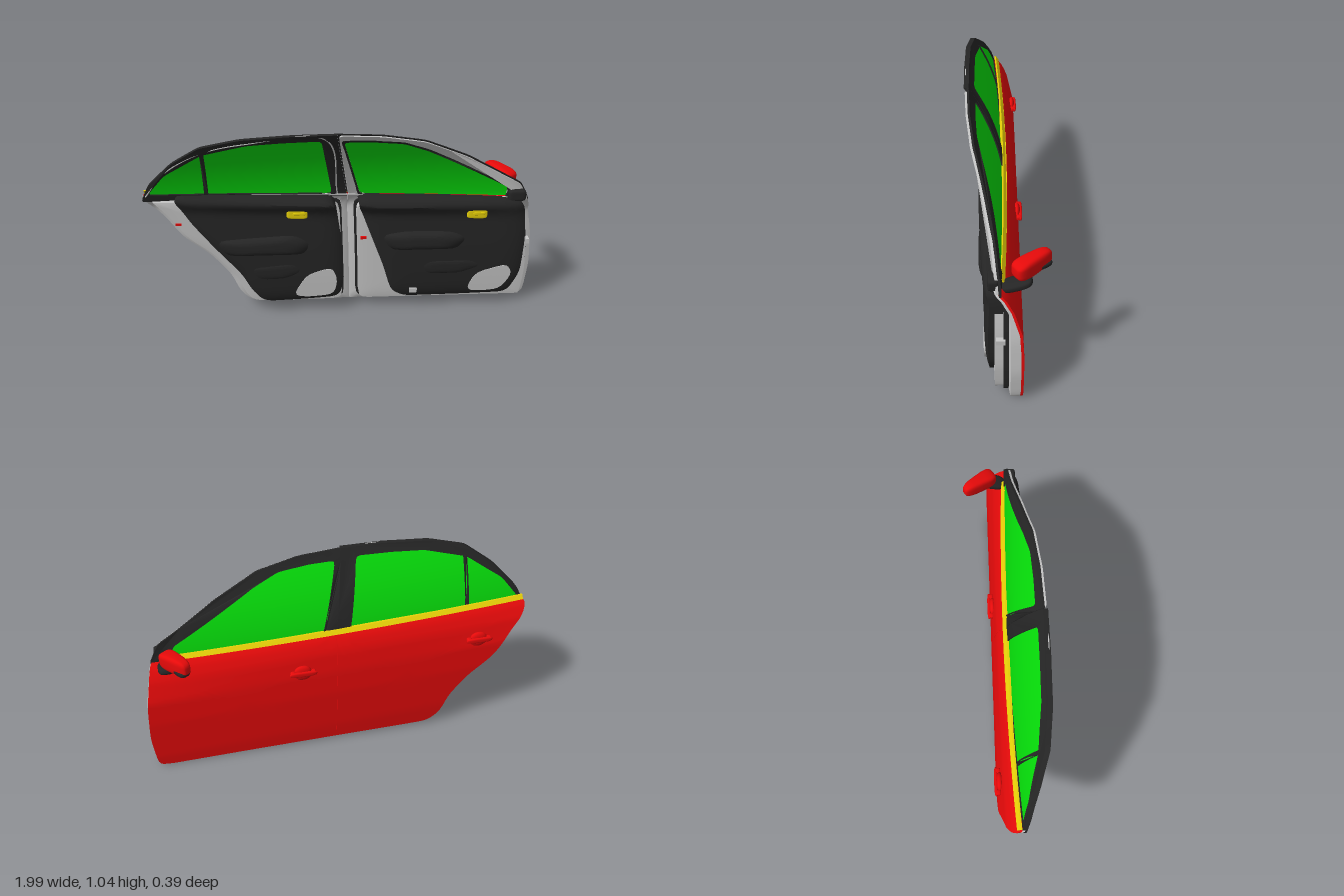
import * as THREE from 'three';
import { toCreasedNormals } from 'three/addons/utils/BufferGeometryUtils.js';

const material = (name, color) => {
  const m = new THREE.MeshStandardMaterial({ color });
  m.name = name;
  return m;
};

// Surface rules: belt line, outer skin, window plane and inner trim
const belt = x => 0.655 - 0.045 * x;
const PROFILE = [[0, 0.01], [0.035, -0.02], [0.09, -0.045], [0.2, -0.065], [0.33, -0.073], [0.55, -0.072], [0.7, -0.06]];
function skinZ(x, y) {
  const s = THREE.MathUtils.clamp(belt(x) - y, 0, 0.699);
  const k = PROFILE.findIndex((p, i) => i > 0 && s < p[0]);
  const [a, b] = [PROFILE[k - 1], PROFILE[k]];
  const z = a[1] + (b[1] - a[1]) * (s - a[0]) / (b[0] - a[0]);
  return z + 0.03 * x * x * Math.max(0, 1 - s / 0.2);
}
function windowZ(x, y) {
  const t = Math.max(0, y - 0.63);
  return 0.01 + 0.03 * x * x + 0.15 * t + 0.65 * t * t;
}
const trimZ = (x, y) => 0.09 + 0.013 * Math.sin(Math.min(1, y / 0.6) * Math.PI)
  + 0.045 * Math.exp(-(((belt(x) - y - 0.022) / 0.04) ** 2)) * (1 - 0.75 * x * x);

const vectors = points => {
  const p = points.map(([x, y, sharp]) => Object.assign(new THREE.Vector2(x, y), { sharp }));
  return THREE.ShapeUtils.isClockWise(p) ? p.reverse() : p;
};
// Rounds the corners of a closed outline, except sharp ones, and subdivides its edges
function outline(points, step = 0.03, cut = 0.025) {
  let p = vectors(points);
  for (let k = 0; k < 2; k++) {
    p = p.flatMap((a, i) => {
      const b = p[(i + 1) % p.length], f = Math.min(0.22, cut / a.distanceTo(b));
      return [a.sharp ? a : a.clone().lerp(b, f), ...(b.sharp ? [] : [a.clone().lerp(b, 1 - f)])];
    });
  }
  return p.flatMap((a, i) => {
    const b = p[(i + 1) % p.length], n = Math.ceil(a.distanceTo(b) / step);
    return Array.from({ length: n }, (_, j) => a.clone().lerp(b, j / n));
  });
}
// Moves every edge of a corner list inwards by d
function inset(points, d) {
  const p = vectors(points), n = p.length;
  const normal = i => {
    const e = p[(i + 1) % n].clone().sub(p[i % n]).normalize();
    return new THREE.Vector2(-e.y, e.x);
  };
  return p.map((v, i) => {
    const a = normal(i + n - 1), b = normal(i), k = d / (1 + a.dot(b));
    return [v.x + (a.x + b.x) * k, v.y + (a.y + b.y) * k];
  });
}
// Even band along a straight line from a to b
function ribbon([ax, ay], [bx, by], [wx, wy]) {
  const t = Array.from({ length: 41 }, (_, i) => i / 40);
  const at = (k, s) => new THREE.Vector2(ax + (bx - ax) * k + wx * s, ay + (by - ay) * k + wy * s);
  return [...t.map(k => at(k, 0)), ...t.reverse().map(k => at(k, 1))];
}

// Closed solid inside an outline, with front and back following z rules (x, y, ring)
function panel(pts, front, back, centre) {
  const n = pts.length, R = 12, pos = [], idx = [];
  const c = centre ? new THREE.Vector2(...centre)
    : pts.reduce((s, p) => s.add(p), new THREE.Vector2()).divideScalar(n);
  for (const rule of [front, back]) {
    for (let j = 0; j <= R; j++) {
      const r = 1 - (1 - j / R) ** 1.5;
      for (const p of pts) {
        const x = c.x + (p.x - c.x) * r, y = c.y + (p.y - c.y) * r;
        pos.push(x, y, rule(x, y, r));
      }
    }
  }
  const B = (R + 1) * n;
  for (let i = 0; i < n; i++) {
    const k = (i + 1) % n;
    for (let j = 0; j < R; j++) {
      const a = j * n + i, b = a + n, d = j * n + k, e = d + n;
      idx.push(a, b, e, B + a, B + e, B + b);
      if (j) idx.push(a, e, d, B + a, B + d, B + e);
    }
    const f = R * n + i, g = R * n + k;
    idx.push(f, B + f, B + g, f, B + g, g);
  }
  const geo = new THREE.BufferGeometry();
  geo.setAttribute('position', new THREE.Float32BufferAttribute(pos, 3));
  geo.setIndex(idx);
  return toCreasedNormals(geo, 0.7);
}

// Flat plate, optionally with a hole, bent onto a z rule
function plate(pts, depth, rule, hole) {
  const shape = new THREE.Shape(pts);
  if (hole) shape.holes.push(new THREE.Path(hole));
  const geo = new THREE.ExtrudeGeometry(shape, { depth, bevelEnabled: false });
  const p = geo.attributes.position;
  for (let i = 0; i < p.count; i++) p.setZ(i, p.getZ(i) + rule(p.getX(i), p.getY(i)));
  return toCreasedNormals(geo, 0.6);
}

// Squared-off ellipsoid
function pebble(sx, sy, sz, power = 0.65) {
  const geo = new THREE.SphereGeometry(1, 32, 20), p = geo.attributes.position;
  const q = v => Math.sign(v) * Math.abs(v) ** power;
  for (let i = 0; i < p.count; i++) p.setXYZ(i, q(p.getX(i)) * sx, q(p.getY(i)) * sy, q(p.getZ(i)) * sz);
  geo.computeVertexNormals();
  return geo;
}

const REAR = {
  body: [[-1, 0.697], [-0.985, 0.635], [-0.9, 0.54], [-0.82, 0.42], [-0.69, 0.315], [-0.59, 0.19], [-0.545, 0.075], [-0.48, 0.02], [-0.3, 0.017], [0.029, 0.014, true], [0.025, 0.3], [0.014, 0.655, true]],
  centre: [-0.35, 0.4],
  frame: [[-1, 0.66], [-0.955, 0.755], [-0.83, 0.885], [-0.69, 0.98], [-0.5, 1.022], [-0.26, 1.036], [-0.046, 1.036, true], [0.013, 0.64, true], [-0.5, 0.66]],
  glass: [[-0.965, 0.698], [-0.875, 0.81], [-0.69, 0.932], [-0.47, 0.985], [-0.3, 0.995], [-0.118, 0.998], [-0.062, 0.658], [-0.5, 0.678]],
  trim: [[-0.85, 0.69], [-0.45, 0.672], [-0.05, 0.65], [-0.02, 0.43], [-0.005, 0.19], [-0.03, 0.085], [-0.2, 0.075], [-0.42, 0.07], [-0.48, 0.14], [-0.53, 0.245], [-0.66, 0.405], [-0.77, 0.55]],
  speaker: [[-0.27, 0.115], [-0.2, 0.235], [-0.07, 0.275], [-0.04, 0.2], [-0.06, 0.11], [-0.2, 0.1]],
  armrest: [[-0.65, 0.45], [-0.5, 0.46], [-0.25, 0.47], [-0.17, 0.42], [-0.2, 0.355], [-0.6, 0.36]],
  pocket: [[-0.5, 0.29], [-0.25, 0.31], [-0.2, 0.26], [-0.3, 0.21], [-0.46, 0.21]],
  pull: [-0.24, 0.585], handle: [-0.73, 0.53],
};
const FRONT = {
  body: [[0.015, 0.655, true], [0.026, 0.3], [0.03, 0.014, true], [0.49, 0.008], [0.92, 0], [0.975, 0.01], [0.995, 0.19], [0.985, 0.38], [0.95, 0.56], [0.93, 0.615], [0.5, 0.633]],
  centre: [0.5, 0.35],
  frame: [[-0.045, 1.036, true], [0.17, 1.022], [0.38, 0.98], [0.6, 0.875], [0.78, 0.762], [0.895, 0.693], [0.945, 0.59], [0.5, 0.62], [0.014, 0.64, true]],
  glass: [[-0.012, 0.988], [0.12, 0.985], [0.275, 0.968], [0.4, 0.915], [0.54, 0.837], [0.825, 0.675], [0.822, 0.612], [0.5, 0.632], [0.078, 0.652]],
  trim: [[0.055, 0.655], [0.5, 0.637], [0.82, 0.62], [0.91, 0.6], [0.93, 0.4], [0.92, 0.19], [0.86, 0.07], [0.6, 0.068], [0.31, 0.07], [0.24, 0.11], [0.195, 0.27], [0.125, 0.46]],
  speaker: [[0.635, 0.105], [0.68, 0.21], [0.84, 0.255], [0.875, 0.2], [0.82, 0.105], [0.72, 0.095]],
  armrest: [[0.18, 0.45], [0.3, 0.47], [0.55, 0.46], [0.63, 0.42], [0.58, 0.355], [0.23, 0.36]],
  pocket: [[0.37, 0.26], [0.42, 0.295], [0.68, 0.29], [0.73, 0.25], [0.6, 0.205], [0.4, 0.21]],
  pull: [0.665, 0.555], handle: [0.2, 0.475],
};

export function createModel() {
  const model = new THREE.Group();
  model.name = 'carDoors';
  const red = material('red paint', 0xe60a0a), black = material('black plastic', 0x252525);
  const grey = material('light grey metal', 0xc6c6c6), green = material('green glass', 0x06de0a);
  const yellow = material('yellow accent', 0xf0d808);
  const add = (parent, name, geo, mat, at = [0, 0, 0]) => {
    const m = new THREE.Mesh(geo, mat);
    m.name = name;
    m.position.set(...at);
    parent.add(m);
    return m;
  };

  const buildDoor = (name, d) => {
    const door = new THREE.Group();
    door.name = name;
    model.add(door);
    const body = outline(d.body), inside = (x, y) => skinZ(x, y) + 0.012;

    // Painted skin, metal shell, rubber seal and inner box, stacked inwards
    add(door, 'outerSkin', panel(body, inside, skinZ, d.centre), red);
    const shellZ = (x, y, r) => Math.max(0.006 - 0.02 * r ** 8, skinZ(x, y) + 0.025);
    add(door, 'metalShell', panel(body, shellZ, inside, d.centre), grey);
    const sealZ = (x, y) => Math.max(0.018, skinZ(x, y) + 0.03);
    add(door, 'rubberSeal', panel(outline(inset(d.body, 0.031)), sealZ, inside, d.centre), black);
    add(door, 'innerBox', panel(outline(inset(d.body, 0.042)), (x, y, r) => 0.06 - 0.005 * r ** 10, inside, d.centre), grey);

    // Interior trim
    add(door, 'interiorTrim', panel(outline(d.trim), (x, y, r) => trimZ(x, y) - 0.018 * r ** 10, (x, y) => Math.max(0.02, skinZ(x, y) + 0.014)), black);
    const swell = h => (x, y, r) => trimZ(x, y) + h * (1 - r ** 4) - 0.005;
    const small = pts => outline(pts, 0.02);
    add(door, 'armrest', panel(small(d.armrest), swell(0.033), () => 0.08), black);
    add(door, 'doorPocket', panel(small(d.pocket), swell(0.01), () => 0.08), black);
    add(door, 'speakerCover', panel(small(d.speaker), (x, y) => trimZ(x, y) + 0.003, () => 0.08), grey);
    const [px, py] = d.pull, pz = trimZ(px, py);
    add(door, 'pullBezel', pebble(0.052, 0.024, 0.01, 0.4), yellow, [px, py, pz]).rotation.z = -0.05;
    add(door, 'pullLever', pebble(0.032, 0.008, 0.004, 0.5), yellow, [px + 0.01, py + 0.004, pz + 0.009]);

    // Window frame and glass
    const glass = outline(d.glass, 0.03, 0.012), pane = outline(inset(d.glass, -0.006), 0.03, 0.012);
    add(door, 'windowFrame', plate(outline(d.frame, 0.03, 0.012), d === REAR ? 0.024 : 0.01, (x, y) => windowZ(x, y) - 0.01, glass), black);
    add(door, 'windowGlass', panel(pane, (x, y) => windowZ(x, y) + 0.003, (x, y) => windowZ(x, y) - 0.003), green);

    // Outside handle: cup, bar and two feet
    const [hx, hy] = d.handle, hz = skinZ(hx, hy);
    add(door, 'handleCup', pebble(0.046, 0.042, 0.018, 0.9), red, [hx, hy, hz]);
    add(door, 'handleBar', pebble(0.07, 0.014, 0.009), red, [hx, hy + 0.004, hz - 0.018]);
    for (const s of [-1, 1]) add(door, 'handleFoot', pebble(0.014, 0.013, 0.014), red, [hx + s * 0.052, hy + 0.004, hz - 0.008]);
    return door;
  };
  const rear = buildDoor('rearDoor', REAR), front = buildDoor('frontDoor', FRONT);

  // Belt moulding along the outside, leaning in at the top
  const moulding = ribbon([-0.985, belt(-0.985) - 0.006], [0.86, belt(0.86) - 0.006], [0, 0.02]);
  add(model, 'beltMoulding', plate(moulding, 0.008, (x, y) => skinZ(x, belt(x)) - 0.018 + 0.8 * (y - belt(x))), yellow);

  // Quarter window bar and thin metal line on the rear frame
  add(rear, 'quarterWindowBar', plate(ribbon([-0.692, 0.68], [-0.692, 0.936], [0.019, 0]), 0.022, (x, y) => windowZ(x, y) - 0.009), black);
  const line = [[-0.975, 0.69], [-0.88, 0.82], [-0.69, 0.945], [-0.47, 0.998], [-0.1, 1.01], [-0.035, 0.66]];
  const path = new THREE.CatmullRomCurve3(line.map(([x, y]) => new THREE.Vector3(x, y, windowZ(x, y) + 0.014)), false, 'centripetal');
  add(rear, 'frameLine', new THREE.TubeGeometry(path, 60, 0.0035, 8), grey);

  // Bare metal inner half of the front frame, with a rubber lip round the glass
  const opening = outline(FRONT.glass, 0.03, 0.012);
  add(front, 'innerFrame', plate(outline(inset(FRONT.frame, 0.006), 0.03, 0.012), 0.014, windowZ, opening), grey);
  add(front, 'glassLip', plate(outline(inset(FRONT.glass, -0.011), 0.03, 0.012), 0.018, windowZ, opening), black);

  // Door mirror: housing narrowing to its tip, arm and lower insert
  const mirror = new THREE.Group();
  mirror.name = 'doorMirror';
  mirror.position.set(0.817, 0.682, -0.108);
  mirror.rotation.y = 0.6;
  model.add(mirror);
  const housing = pebble(0.045, 0.05, 0.095, 0.52), hp = housing.attributes.position;
  for (let i = 0; i < hp.count; i++) {
    const t = (0.095 - hp.getZ(i)) / 0.19, y = hp.getY(i);
    hp.setX(i, hp.getX(i) * (1 - 0.4 * t));
    hp.setY(i, y < 0 ? y * (1.1 - 0.6 * t * t) : y * (1 - 0.35 * (1 - t) ** 2));
  }
  housing.computeVertexNormals();
  add(mirror, 'mirrorHousing', housing, red);
  add(mirror, 'mirrorInsert', pebble(0.03, 0.014, 0.04), black, [0.006, -0.02, -0.05]);
  add(model, 'mirrorArm', pebble(0.04, 0.02, 0.07), black, [0.865, 0.612, -0.04]).rotation.x = 0.3;
  add(model, 'mirrorInnerCover', pebble(0.045, 0.03, 0.025, 0.4), black, [0.87, 0.635, 0.06]);

  // Latches, hinge and clip
  const block = (name, size, mat, at) => add(model, name, new THREE.BoxGeometry(...size), mat, at);
  block('rearLatch', [0.03, 0.012, 0.015], red, [-0.83, 0.53, 0.055]);
  block('frontLatch', [0.03, 0.012, 0.015], red, [0.095, 0.42, 0.062]);
  block('trimClip', [0.04, 0.025, 0.02], grey, [0.355, 0.115, 0.093]);
  block('hinge', [0.03, 0.025, 0.04], grey, [0.95, 0.355, 0.03]);
  return model;
}
